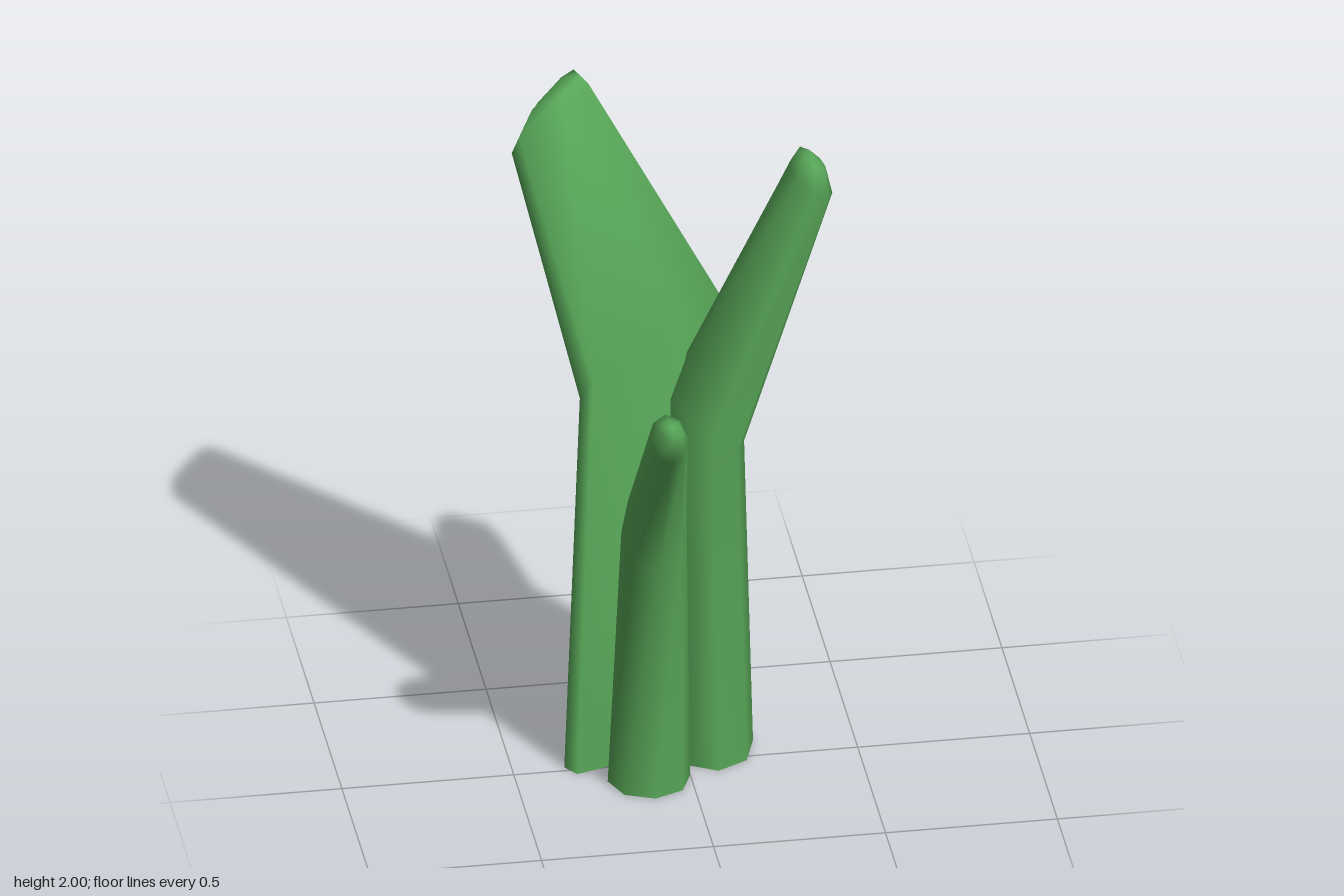
import * as THREE from 'three';

const green = new THREE.MeshStandardMaterial({ color: 0x58a758, side: THREE.DoubleSide });
green.name = 'leafGreen';

// Eight-sided oval ring around a centre, spanned by two half-axis vectors
function oval(c, a, b) {
  return Array.from({ length: 8 }, (_, i) => {
    const t = (i / 8) * Math.PI * 2;
    return c.map((v, k) => v + a[k] * Math.cos(t) + b[k] * Math.sin(t));
  });
}

// Shrinks a ring towards a point, for rounded tips
function shrink(ring, target, f) {
  return ring.map(p => p.map((v, k) => v + (target[k] - v) * f));
}

// Smooth skin over rings of equal size, open at the foot and closed at the tip
function stalk(name, rings, apex) {
  const n = rings[0].length;
  const index = [];
  for (let r = 0; r < rings.length; r++) {
    for (let i = 0; i < n; i++) {
      const p0 = r * n + i, p1 = r * n + (i + 1) % n;
      if (r === rings.length - 1) index.push(p0, rings.length * n, p1);
      else index.push(p0, p0 + n, p1, p1, p0 + n, p1 + n);
    }
  }
  const g = new THREE.BufferGeometry();
  g.setAttribute('position', new THREE.Float32BufferAttribute([...rings, [apex]].flat(2), 3));
  g.setIndex(index);
  g.computeVertexNormals();
  const mesh = new THREE.Mesh(g, green);
  mesh.name = name;
  return mesh;
}

export function createModel() {
  const group = new THREE.Group();
  group.name = 'branchingStalks';

  // Broad, flattened stalk leaning to the back right
  const broadTip = [
    [-0.20, 1.97, -0.51], [-0.29, 1.94, -0.41], [-0.42, 1.88, -0.395],
    [-0.44, 1.82, -0.41], [-0.38, 1.85, -0.50], [-0.22, 1.96, -0.565],
  ];
  const broadApex = [-0.28, 2.0, -0.51];
  group.add(stalk('broadBackStalk', [
    [[0.195, 0, -0.33], [0.03, 0, -0.08], [-0.32, 0, 0.025],
      [-0.35, 0, -0.02], [-0.22, 0, -0.26], [0.165, 0, -0.365]],
    [[0.16, 1.34, -0.29], [0.01, 1.40, -0.08], [-0.27, 1.28, -0.005],
      [-0.30, 1.20, -0.05], [-0.18, 1.20, -0.25], [0.12, 1.32, -0.34]],
    broadTip,
    shrink(broadTip, broadApex, 0.3).map(([x, y, z]) => [x, Math.min(2, y + 0.03), z]),
  ], broadApex));

  // Round stalk leaning to the left
  group.add(stalk('leftStalk', [
    oval([0.085, 0, -0.09], [0.125, 0, 0], [0, 0, 0.16]),
    oval([0.07, 1.08, -0.095], [0.115, -0.09, 0], [0, 0, 0.13]),
    oval([0.37, 1.86, -0.055], [0.065, -0.05, 0], [0, 0, 0.085]),
    oval([0.375, 1.93, -0.055], [0.04, -0.03, 0], [0, 0, 0.05]),
  ], [0.37, 1.955, -0.055]));

  // Short stalk leaning to the front
  group.add(stalk('frontStalk', [
    oval([-0.12, 0, 0.08], [0.12, 0, 0], [0, 0, 0.12]),
    oval([-0.11, 0.84, 0.11], [0.095, 0, 0], [0, -0.10, 0.075]),
    oval([-0.13, 1.36, 0.50], [0.055, 0, 0], [0, -0.05, 0.057]),
    oval([-0.128, 1.405, 0.535], [0.035, 0, 0], [0, -0.02, 0.027]),
  ], [-0.128, 1.425, 0.545]));

  return group;
}
